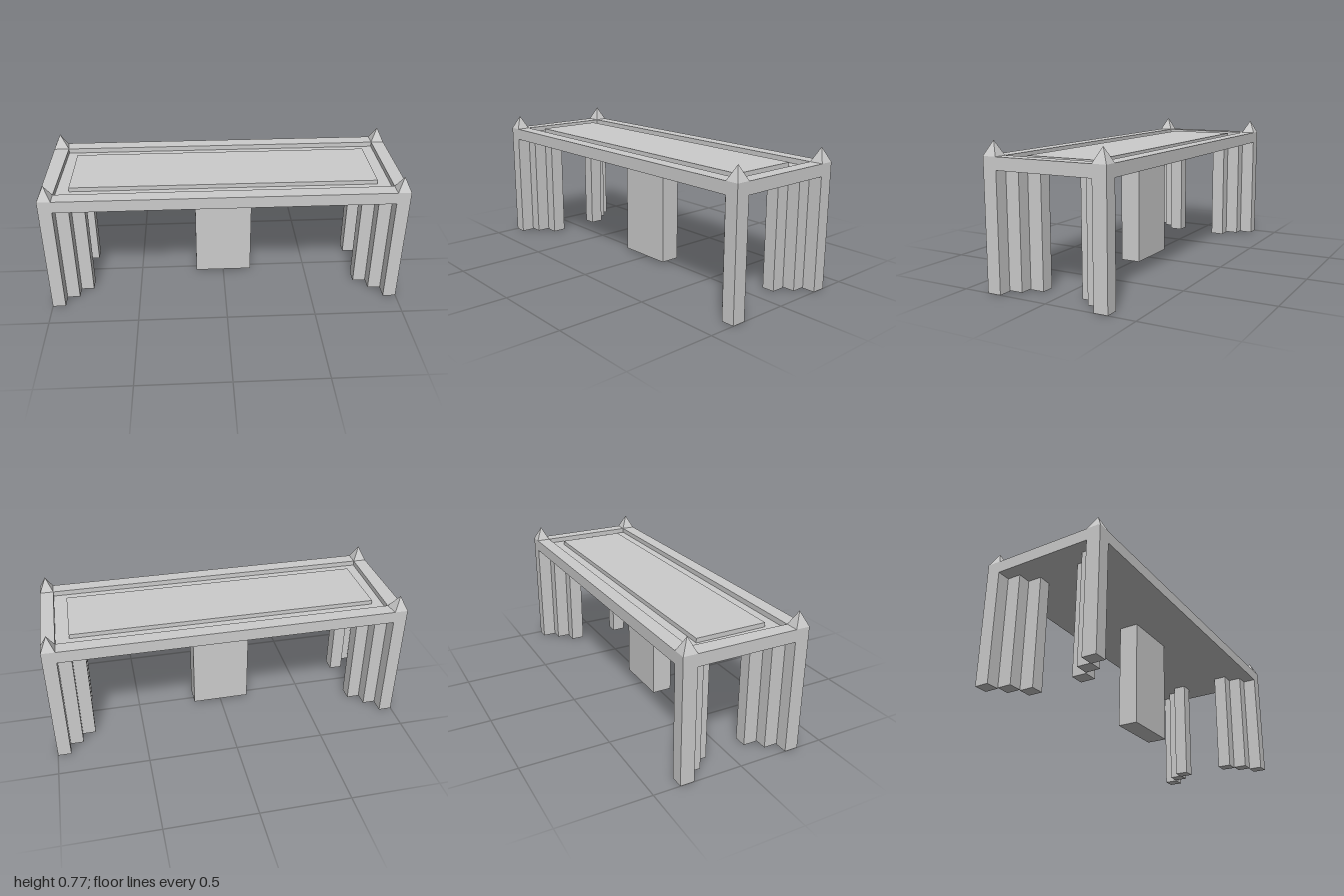
import * as THREE from 'three';

export function createModel() {
  const group = new THREE.Group();
  const mat = new THREE.MeshStandardMaterial({ color: 0xcccccc, flatShading: true });

  const add = (name, geometry) => {
    const mesh = new THREE.Mesh(geometry, mat);
    mesh.name = name;
    group.add(mesh);
    return mesh;
  };
  // Box given by its lower and upper limits on each axis
  const box = (name, x0, x1, y0, y1, z0, z1) => {
    const g = new THREE.BoxGeometry(Math.abs(x1 - x0), y1 - y0, Math.abs(z1 - z0));
    g.translate((x0 + x1) / 2, (y0 + y1) / 2, (z0 + z1) / 2);
    return add(name, g);
  };

  const X = [1, 0.926, 0.853, 0.78];       // stepped leg edges, outside to inside
  const Z = [0.353, 0.275, 0.197, 0.118];
  const under = 0.63, rimTop = 0.697, floorTop = 0.669;
  const skewX = -0.914;                    // back left inner corner is slightly off square

  // Rim frame around the top
  const points = (list) => list.map(([x, y]) => new THREE.Vector2(x, y));
  const frame = new THREE.Shape(points([[-X[0], -Z[0]], [X[0], -Z[0]], [X[0], Z[0]], [-X[0], Z[0]]]));
  frame.holes.push(new THREE.Path(points([[-X[1], -Z[1]], [skewX, Z[1]], [X[1], Z[1]], [X[1], -Z[1]]])));
  const rim = new THREE.ExtrudeGeometry(frame, { depth: rimTop - under, bevelEnabled: false });
  rim.rotateX(-Math.PI / 2).translate(0, under, 0);
  add('rim', rim);

  // Recessed table top with raised centre panel
  box('tableTop', -X[1], X[1], under, floorTop, -Z[1], Z[1]);
  box('raisedPanel', -X[2], X[2], floorTop, 0.693, -Z[2], Z[2]);

  // Central pillar
  box('centrePillar', -0.165, 0.165, 0.013, under, -0.057, 0.057);

  for (const sx of [-1, 1]) {
    for (const sz of [-1, 1]) {
      // Three posts stepping diagonally inward from each corner
      for (let i = 0; i < 3; i++) {
        box('legPost', sx * X[i], sx * X[i + 1], i === 1 ? 0.004 : 0, under, sz * Z[i], sz * Z[i + 1]);
      }
      // Pyramid spike on the corner
      const spike = new THREE.ConeGeometry(Math.SQRT1_2, 1, 4, 1);
      spike.rotateY(Math.PI / 4).scale(X[0] - X[1], 0.078, Z[0] - Z[1]);
      spike.translate(sx * (X[0] + X[1]) / 2, rimTop + 0.039, sz * (Z[0] + Z[1]) / 2);
      if (sx < 0 && sz < 0) {
        const p = spike.attributes.position;
        for (let i = 0; i < p.count; i++) {
          if (p.getY(i) < rimTop + 0.01 && p.getX(i) > -0.94 && p.getZ(i) > -0.29) p.setX(i, skewX);
        }
      }
      add('cornerSpike', spike);
    }
  }
  return group;
}
